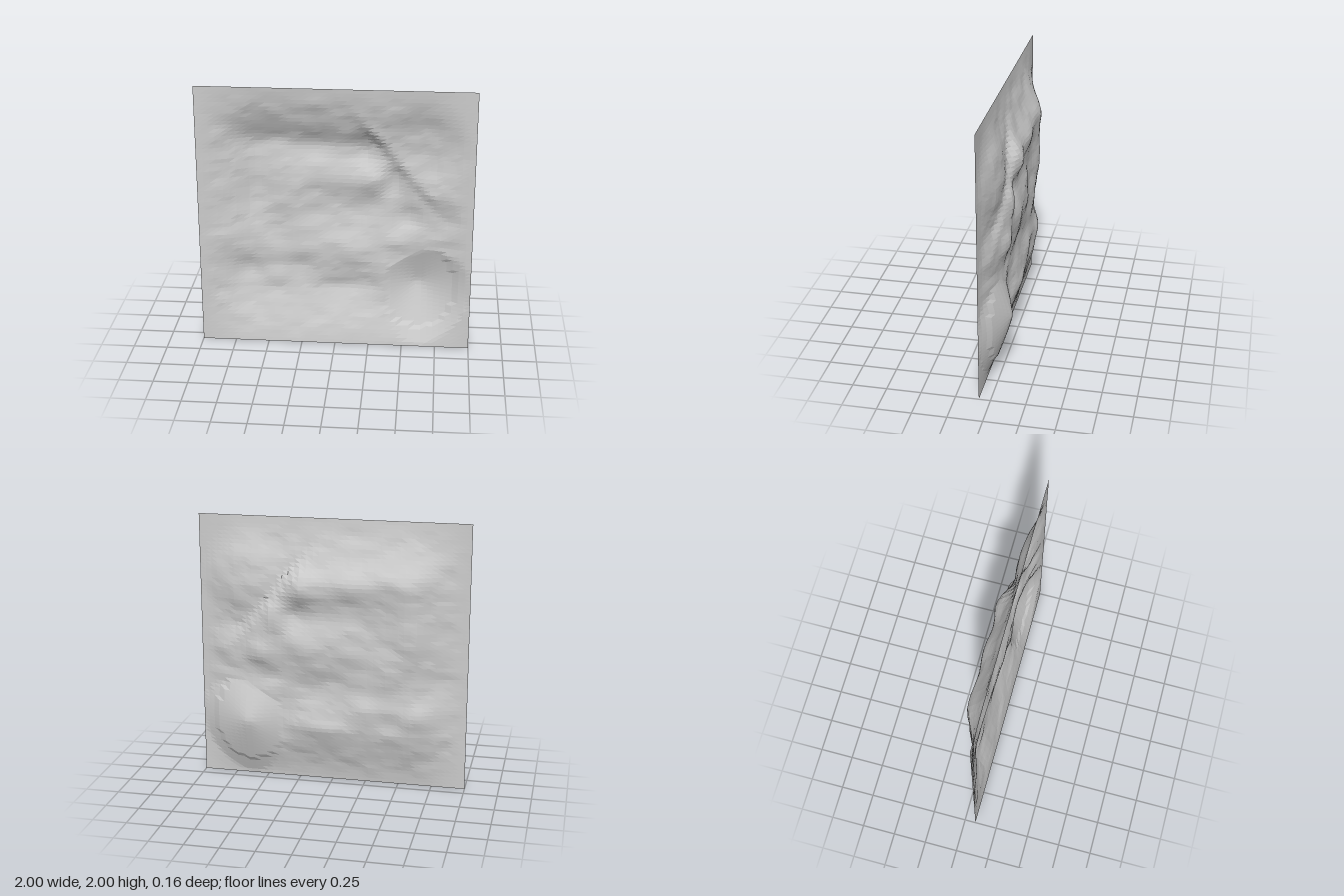
import * as THREE from 'three';

const { smoothstep, clamp, lerp } = THREE.MathUtils;

// 0..1 ramp, straight with a softened end
const ramp = (t) => smoothstep(t, 0, 1) * 0.5 + clamp(t, 0, 1) * 0.5;

// seeded value noise for the rough surface
const hash = (i, j) => {
  const h = Math.sin(i * 127.1 + j * 311.7) * 43758.5453;
  return (h - Math.floor(h)) * 2 - 1;
};
function noise(x, y) {
  const i = Math.floor(x), j = Math.floor(y);
  const u = smoothstep(x - i, 0, 1), v = smoothstep(y - j, 0, 1);
  return lerp(lerp(hash(i, j), hash(i + 1, j), u), lerp(hash(i, j + 1), hash(i + 1, j + 1), u), v);
}

// local swells of the relief: x, y, radius x, radius y, depth
const swells = [
  [0.2, 1.5, 0.14, 0.12, 0.07],      // upper ridge, right end
  [-0.15, 1.53, 0.2, 0.14, 0.06],    // upper ridge, middle
  [-0.52, 1.56, 0.2, 0.16, 0.045],   // upper ridge, left end
  [0.42, 1.27, 0.09, 0.15, 0.045],   // right side of the ring
  [0.5, 1.02, 0.1, 0.15, 0.04],      // right side of the ring, lower
  [-0.57, 1.22, 0.14, 0.26, 0.04],   // left side of the ring
  [0.18, 1.05, 0.17, 0.16, 0.05],    // round centre
  [-0.14, 1.08, 0.16, 0.18, 0.03],   // swell left of the centre
  [0.27, 1.28, 0.09, 0.1, -0.02],    // hollow above the centre
  [-0.78, 0.82, 0.14, 0.1, -0.02],   // dip at far left
  [-0.64, 0.55, 0.14, 0.1, 0.03],    // lower left lobe
  [-0.42, 0.9, 0.12, 0.12, 0.02],    // swell above the lower ridge
  [0.1, 0.72, 0.3, 0.1, -0.018],     // dip above the lower ridge
  [-0.25, 0.58, 0.12, 0.1, 0.025],   // lower ridge, left end
  [0.07, 0.44, 0.24, 0.1, 0.03],     // lower ridge
  [0.36, 0.52, 0.07, 0.2, -0.015],   // hollow beside the bowl
  [0.55, 0.84, 0.2, 0.08, -0.015],   // hollow above the bowl
  [0.82, 1.1, 0.08, 0.16, 0.025],    // right flank
  [-0.65, 1.9, 0.1, 0.06, -0.015],   // dents along the top
  [-0.15, 1.9, 0.11, 0.06, -0.015],
];

// how far the sheet is pushed back at a point
function depth(x, y) {
  const edge = ramp((x + 1) / 0.4) * ramp((1 - x) / 0.42) * ramp((2 - y) / 0.46) * ramp(y / 0.42);
  // diagonal step between the ring and the upper right dish
  const s = (x - 0.31) * 0.757 + (y - 1.56) * 0.653;
  const outer = smoothstep(s, -0.03, 0.06);
  let d = edge * 0.093;
  for (const [cx, cy, rx, ry, h] of swells) {
    const u = (x - cx) / rx, v = (y - cy) / ry;
    d += h * Math.exp(-(u * u + v * v)) * Math.min(1, edge * 2);
  }
  // upper right dish, a shallow dome
  const q = Math.hypot((x - 0.62) / 0.38, (y - 1.55) / 0.4);
  const dish = edge * 0.06 + 0.03 * (1 - smoothstep(q, 0.3, 1));
  d = lerp(d, dish, outer * smoothstep(y, 0.95, 1.2));
  // rough surface
  d += Math.min(1, edge * 3) * (0.006 * noise(x * 7 + 20, y * 10) + 0.003 * noise(x * 14, y * 20 + 9));
  // round cone-like bowl at the lower right, with a short skirt outside its rim
  const r = Math.hypot((x - 0.61) / 0.28, (y - 0.47) / 0.33);
  const bowl = r < 1 ? 0.165 - 0.103 * Math.pow(r, 1.15) : 0.052 * (1.38 - r) / 0.38;
  return clamp(Math.max(d, bowl), 0, 0.165);
}

export function createModel() {
  const group = new THREE.Group();
  group.name = 'reliefPanel';

  const geometry = new THREE.PlaneGeometry(2, 2, 44, 68);
  geometry.translate(0, 1, 0);
  const p = geometry.attributes.position;
  for (let i = 0; i < p.count; i++) p.setZ(i, 0.083 - depth(p.getX(i), p.getY(i)));
  geometry.computeVertexNormals();

  const sheet = new THREE.Mesh(geometry, new THREE.MeshStandardMaterial({
    color: 0xcccccc, flatShading: true, side: THREE.DoubleSide,
  }));
  sheet.name = 'reliefSheet';
  group.add(sheet);
  return group;
}
